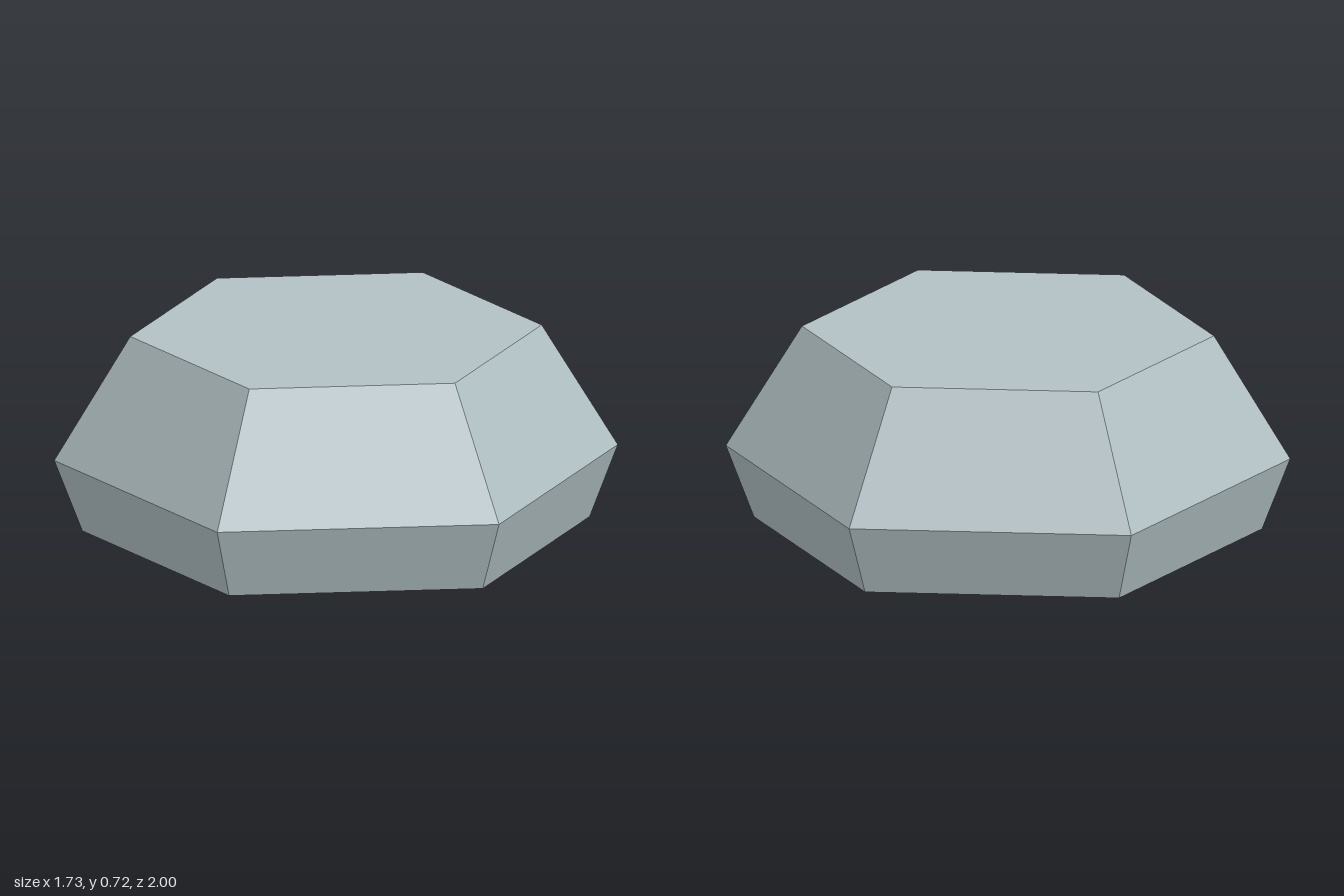
import * as THREE from 'three';

export function createModel() {
  const group = new THREE.Group();
  group.name = 'hexagonalStone';

  const stone = new THREE.MeshStandardMaterial({ color: 0xb2c1c5, flatShading: true });
  stone.name = 'paleBlueGrey';

  // Closed profile from the base centre up to the top centre: radius, height
  const profile = [[0, 0], [0.9, 0], [1, 0.265], [0.73, 0.718], [0, 0.718]]
    .map(([r, y]) => new THREE.Vector2(r, y));

  // Six sides, with corners on the z axis; split faces for crisp facets
  const geometry = new THREE.LatheGeometry(profile, 6).toNonIndexed();
  geometry.computeVertexNormals();

  const body = new THREE.Mesh(geometry, stone);
  body.name = 'stoneBody';
  group.add(body);
  return group;
}
